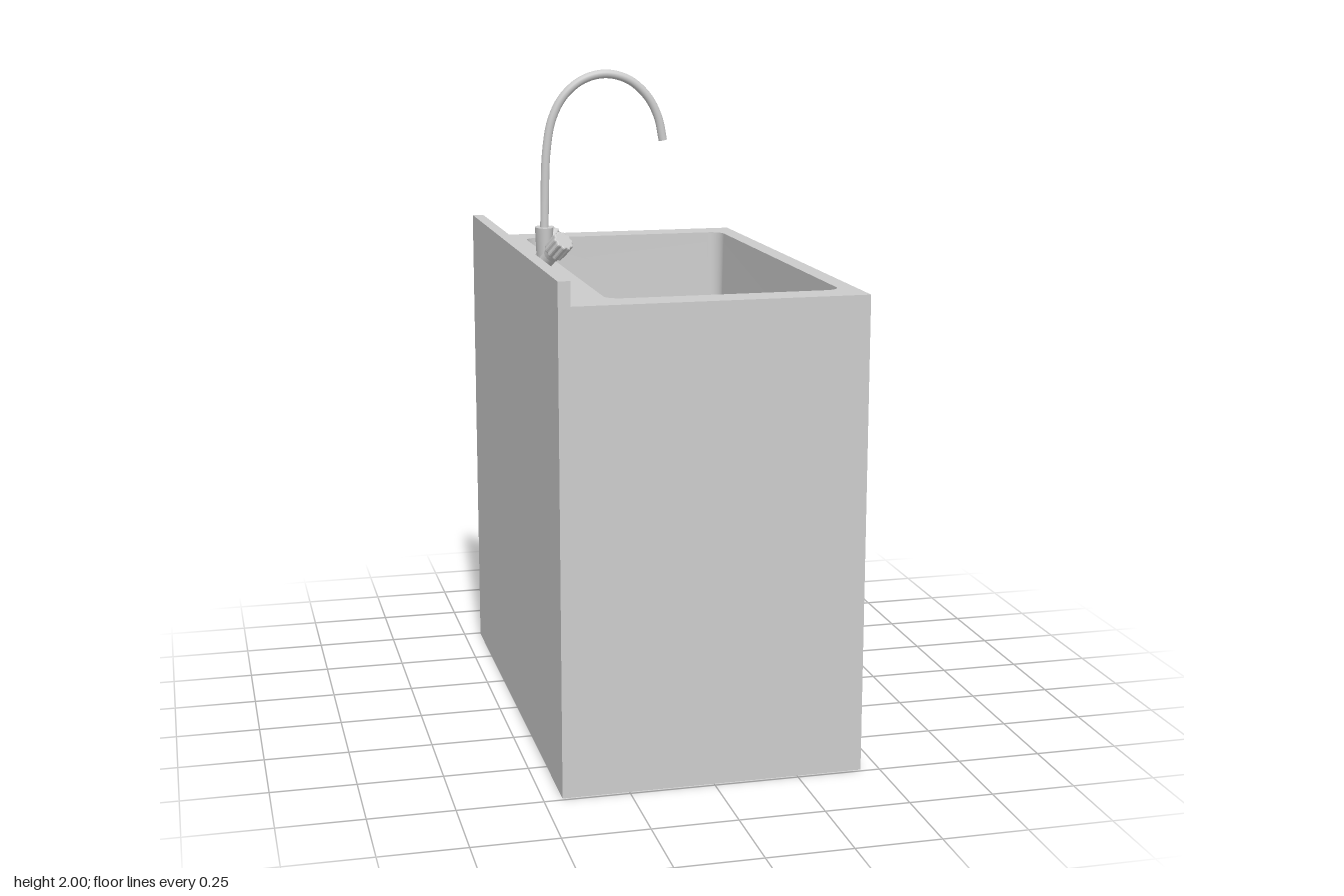
import * as THREE from 'three';

const W = 0.89, D = 1.48, TOP = 1.41;          // cabinet width, depth, worktop height
const BASIN = { x: 0.0525, hw: 0.34, hd: 0.637, r: 0.045, depth: 0.3 };
const mat = new THREE.MeshStandardMaterial({ color: 0xcccccc });
const matDouble = new THREE.MeshStandardMaterial({ color: 0xcccccc, side: THREE.DoubleSide });

function add(parent, name, geometry, material = mat) {
  const mesh = new THREE.Mesh(geometry, material);
  mesh.name = name;
  parent.add(mesh);
  return mesh;
}

// Rounded rectangle of the basin, moved inwards by inset
function basinOutline(inset = 0, steps = 8) {
  const { x, hw, hd, r } = BASIN, pts = [];
  const rad = Math.max(r - inset, 0.012);
  const cx = hw - inset - rad, cy = hd - inset - rad;
  [[1, 1], [-1, 1], [-1, -1], [1, -1]].forEach(([sx, sy], k) => {
    for (let i = 0; i <= steps; i++) {
      const a = (k + i / steps) * Math.PI / 2;
      pts.push(new THREE.Vector2(x + sx * cx + rad * Math.cos(a), sy * cy + rad * Math.sin(a)));
    }
  });
  return pts;
}

// Lofted bowl: straight walls, rounded foot, flat floor
function basinGeometry() {
  const floor = TOP - BASIN.depth, f = 0.035;
  const rings = [[0, TOP]];
  for (let i = 0; i <= 6; i++) {
    const a = (i / 6) * Math.PI / 2;
    rings.push([0.006 + f * (1 - Math.cos(a)), floor + f * (1 - Math.sin(a))]);
  }
  rings.push([0.06, floor]);
  const pos = [], idx = [];
  let n = 0;
  for (const [inset, y] of rings) {
    const pts = basinOutline(inset);
    n = pts.length;
    for (const p of pts) pos.push(p.x, y, -p.y);
  }
  const centre = pos.length / 3;
  pos.push(BASIN.x, floor, 0);
  for (let i = 0; i < rings.length; i++) {
    for (let j = 0; j < n; j++) {
      const a = i * n + j, b = i * n + (j + 1) % n;
      if (i === rings.length - 1) idx.push(a, b, centre);
      else idx.push(a, b, a + n, b, b + n, a + n);
    }
  }
  const g = new THREE.BufferGeometry();
  g.setAttribute('position', new THREE.Float32BufferAttribute(pos, 3));
  g.setIndex(idx);
  g.computeVertexNormals();
  return g;
}

// Fluted grip, extruded along +z
function knobGeometry() {
  const pts = [], flutes = 10, per = 6;
  for (let i = 0; i < flutes * per; i++) {
    const a = (i / (flutes * per)) * Math.PI * 2;
    const r = 0.031 + 0.0025 * Math.cos(a * flutes);
    pts.push(new THREE.Vector2(r * Math.cos(a), r * Math.sin(a)));
  }
  return new THREE.ExtrudeGeometry(new THREE.Shape(pts), {
    depth: 0.05, bevelEnabled: true, bevelThickness: 0.005, bevelSize: 0.004, bevelOffset: -0.003, bevelSegments: 2,
  });
}

function createTap() {
  const tap = new THREE.Group();
  tap.name = 'tap';

  // Oval central body
  const body = add(tap, 'tapBody', new THREE.CylinderGeometry(0.042, 0.034, 0.12, 32));
  body.scale.x = 0.64;
  body.position.set(-0.341, TOP + 0.06, 0);

  // Swan-neck spout with closed outlet
  const path = new THREE.CatmullRomCurve3([
    [-0.34, 1.5], [-0.338, 1.6], [-0.331, 1.76], [-0.313, 1.855], [-0.275, 1.925], [-0.215, 1.972],
    [-0.145, 1.987], [-0.075, 1.968], [-0.018, 1.918], [0.015, 1.855], [0.03, 1.785],
  ].map(([x, y]) => new THREE.Vector3(x, y, 0)));
  add(tap, 'spout', new THREE.TubeGeometry(path, 72, 0.013, 16));
  const outlet = add(tap, 'spoutOutlet', new THREE.CircleGeometry(0.013, 16), matDouble);
  outlet.position.copy(path.getPoint(1));
  outlet.quaternion.setFromUnitVectors(new THREE.Vector3(0, 0, 1), path.getTangent(1));

  // Mirrored pair of angled valves
  for (const s of [1, -1]) {
    const valve = new THREE.Group();
    valve.name = s > 0 ? 'frontValve' : 'rearValve';
    const dir = new THREE.Vector3(0.048, 0.08, 0.075 * s).normalize();
    valve.position.set(-0.347, TOP + 0.012, 0.025 * s);
    valve.quaternion.setFromUnitVectors(new THREE.Vector3(0, 0, 1), dir);
    const stem = add(valve, 'valveStem', new THREE.CylinderGeometry(0.022, 0.022, 0.09, 24).rotateX(Math.PI / 2));
    stem.position.z = 0.03;
    const collar = add(valve, 'valveCollar', new THREE.CylinderGeometry(0.028, 0.024, 0.02, 24).rotateX(Math.PI / 2));
    collar.position.z = 0.052;
    add(valve, 'valveKnob', knobGeometry()).position.z = 0.064;
    tap.add(valve);
  }
  return tap;
}

export function createModel() {
  const model = new THREE.Group();
  model.name = 'sinkUnit';

  // Cabinet sides and underside, left open at the top
  const cabinet = new THREE.BoxGeometry(W, TOP, D);
  const faces = Array.from(cabinet.index.array);
  faces.splice(12, 6);
  cabinet.setIndex(faces);
  cabinet.clearGroups();
  add(model, 'cabinet', cabinet).position.y = TOP / 2;

  // Worktop with the basin opening
  const top = new THREE.Shape([[-1, -1], [1, -1], [1, 1], [-1, 1]]
    .map(([x, y]) => new THREE.Vector2(x * W / 2, y * D / 2)));
  top.holes.push(new THREE.Path(basinOutline()));
  add(model, 'worktop', new THREE.ShapeGeometry(top).rotateX(-Math.PI / 2)).position.y = TOP;

  add(model, 'basin', basinGeometry(), matDouble);

  // Raised strip along the wall side
  add(model, 'backsplash', new THREE.BoxGeometry(0.035, 0.07, D))
    .position.set(-W / 2 + 0.0175, TOP + 0.035, 0);

  model.add(createTap());
  return model;
}
